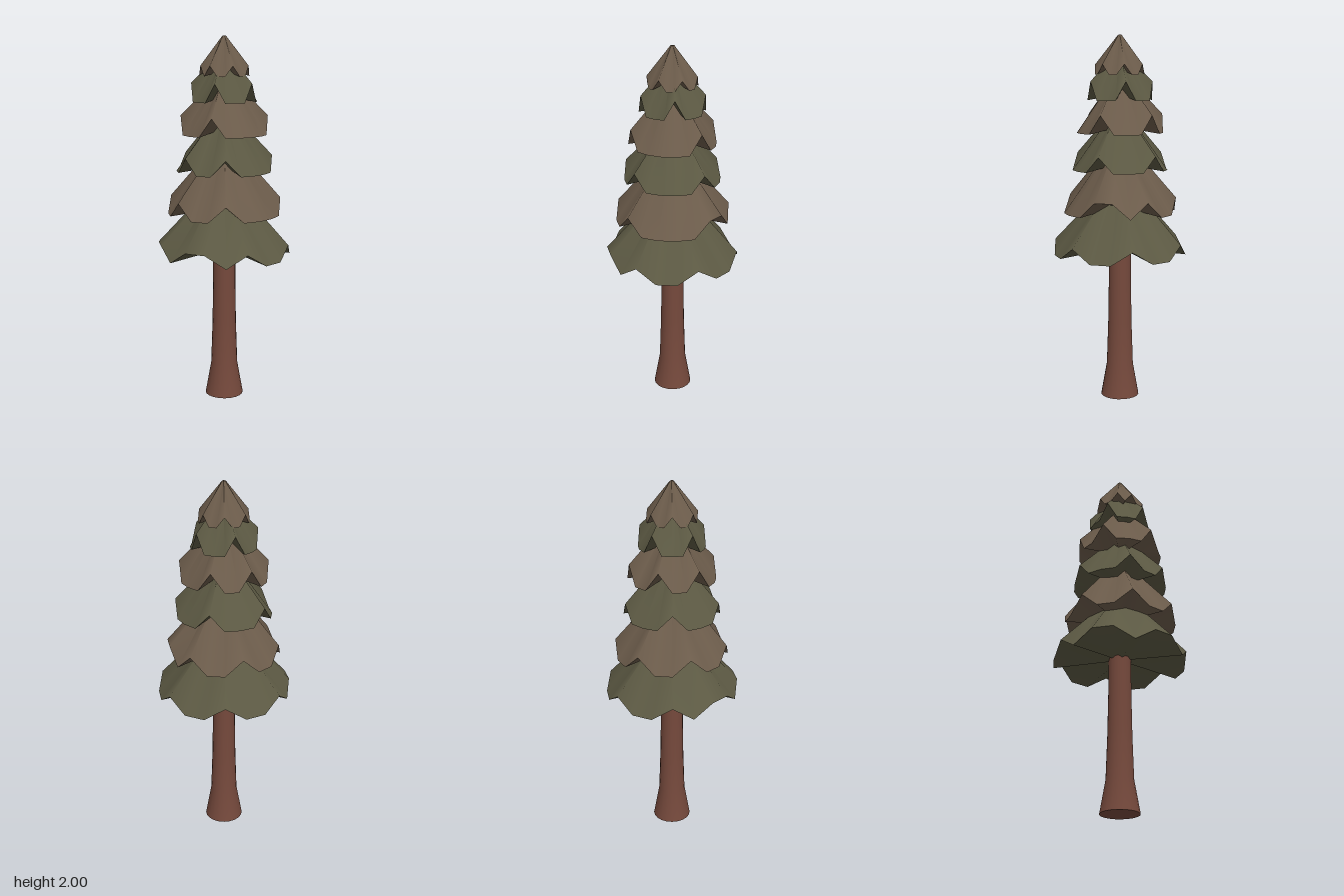
import * as THREE from 'three';

const SEGMENTS = 20;

// One skirt of foliage: a cone whose rim is raised at the notched segments, closed by a shallow underside.
function makeTier({ apex, low, high, radius, notches }, material) {
  const rim = [];
  for (let i = 0; i < SEGMENTS; i++) {
    const a = (i / SEGMENTS) * Math.PI * 2;
    rim.push([Math.cos(a), notches.includes(i) ? high : low, Math.sin(a)]);
  }
  const group = new THREE.Group();

  // Outer surface, running from a tiny blunt tip to the rim
  const outer = [];
  const outerIndex = [];
  const tipRadius = 0.01;
  for (const [c, y, s] of rim) {
    outer.push(c * tipRadius, apex, s * tipRadius, c * radius, y, s * radius);
  }
  outer.push(0, apex, 0);
  for (let i = 0; i < SEGMENTS; i++) {
    const a = i * 2;
    const b = ((i + 1) % SEGMENTS) * 2;
    outerIndex.push(a, b, a + 1, b, b + 1, a + 1, SEGMENTS * 2, b, a);
  }

  // Underside fan
  const under = rim.flatMap(([c, y, s]) => [c * radius, y, s * radius]);
  under.push(0, low + 0.03, 0);
  const underIndex = [];
  for (let i = 0; i < SEGMENTS; i++) underIndex.push(SEGMENTS, i, (i + 1) % SEGMENTS);

  for (const [name, points, index] of [['needles', outer, outerIndex], ['underside', under, underIndex]]) {
    const geometry = new THREE.BufferGeometry();
    geometry.setAttribute('position', new THREE.Float32BufferAttribute(points, 3));
    geometry.setIndex(index);
    geometry.computeVertexNormals();
    const mesh = new THREE.Mesh(geometry, material);
    mesh.name = name;
    group.add(mesh);
  }
  return group;
}

export function createModel() {
  const tree = new THREE.Group();
  tree.name = 'tree';
  const bark = new THREE.MeshStandardMaterial({ color: 0x75493c });
  const green = new THREE.MeshStandardMaterial({ color: 0x5c5943 });
  const brown = new THREE.MeshStandardMaterial({ color: 0x6c5c4b });

  // Trunk with a flared foot
  const profile = [[0.106, 0], [0.074, 0.18], [0.066, 0.42], [0.062, 0.66], [0.061, 0.9]];
  const trunk = new THREE.Mesh(
    new THREE.LatheGeometry(profile.map(([r, y]) => new THREE.Vector2(r, y)), 20), bark);
  trunk.name = 'trunk';
  tree.add(trunk);

  const foot = new THREE.Mesh(new THREE.CircleGeometry(0.106, 20).rotateX(Math.PI / 2), bark);
  foot.name = 'trunkBase';
  tree.add(foot);

  // Foliage tiers from bottom to top, alternating in colour; notches are rim segments counted from +x towards +z
  const tiers = [
    { apex: 1.26, low: 0.815, high: 0.885, radius: 0.363, notches: [0, 3, 6, 8, 9, 11, 12, 14, 17] },
    { apex: 1.47, low: 1.045, high: 1.13, radius: 0.308, notches: [1, 2, 7, 10, 13, 16, 19] },
    { apex: 1.63, low: 1.28, high: 1.365, radius: 0.26, notches: [2, 7, 10, 14, 18] },
    { apex: 1.81, low: 1.48, high: 1.58, radius: 0.235, notches: [2, 8, 12, 15, 18] },
    { apex: 1.92, low: 1.655, high: 1.755, radius: 0.177, notches: [0, 4, 8, 12, 16] },
    { apex: 2.0, low: 1.79, high: 1.845, radius: 0.134, notches: [0, 3, 6, 9, 11, 14, 17] },
  ];
  tiers.forEach((tier, i) => {
    const foliage = makeTier(tier, i % 2 ? brown : green);
    foliage.name = `foliageTier${i + 1}`;
    tree.add(foliage);
  });
  return tree;
}
